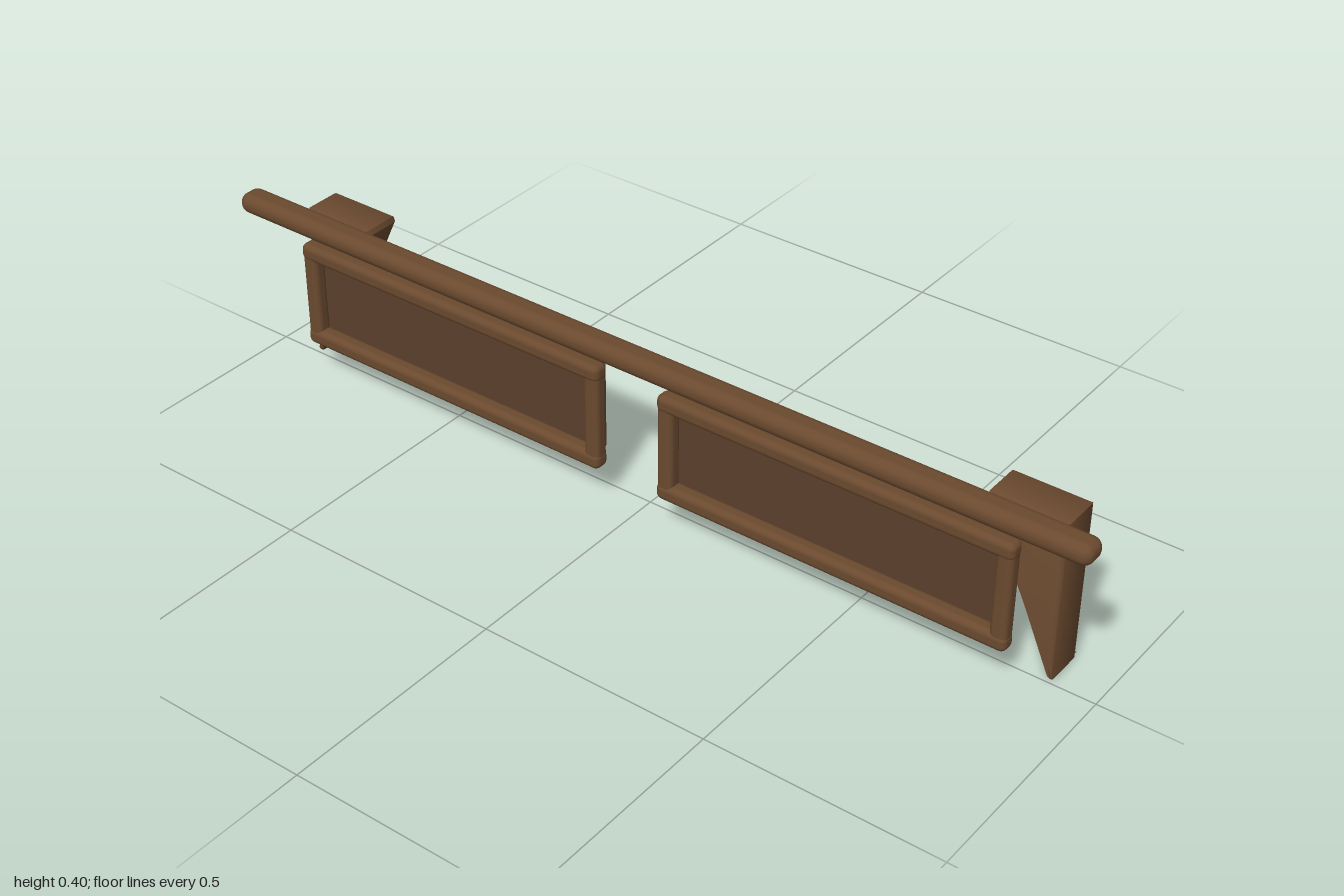
import * as THREE from 'three';
import { toCreasedNormals } from 'three/addons/utils/BufferGeometryUtils.js';
import { RoundedBoxGeometry } from 'three/addons/geometries/RoundedBoxGeometry.js';

export function createModel() {
  const model = new THREE.Group();
  const wood = new THREE.MeshStandardMaterial({ color: 0x6b4a2f });
  wood.name = 'brown wood';
  const darkWood = new THREE.MeshStandardMaterial({ color: 0x5c3f2c });
  darkWood.name = 'dark brown wood';

  // Rounded bar given by its limits on each axis
  function bar(parent, name, [x0, x1], [y0, y1], [z0, z1], radius) {
    const geometry = new RoundedBoxGeometry(x1 - x0, y1 - y0, z1 - z0, 4, radius);
    const mesh = new THREE.Mesh(geometry, wood);
    mesh.position.set((x0 + x1) / 2, (y0 + y1) / 2, (z0 + z1) / 2);
    mesh.name = name;
    parent.add(mesh);
  }

  // Long top rail
  bar(model, 'topRail', [-1, 1], [0.355, 0.4], [0.04, 0.099], 0.021);

  for (const side of [-1, 1]) {
    const prefix = side > 0 ? 'left' : 'right';
    const span = (a, b) => (side > 0 ? [a, b] : [-b, -a]);

    // Framed panel
    const panel = new THREE.Group();
    panel.name = prefix + 'Panel';
    model.add(panel);
    bar(panel, 'backBoard', span(0.09, 0.83), [0.105, 0.307], [0.018, 0.046], 0.01);
    bar(panel, 'frameTop', span(0.07, 0.848), [0.289, 0.326], [0.042, 0.079], 0.013);
    bar(panel, 'frameBottom', span(0.07, 0.848), [0.086, 0.123], [0.042, 0.079], 0.013);
    bar(panel, 'frameInnerSide', span(0.071, 0.107), [0.092, 0.32], [0.043, 0.077], 0.012);
    bar(panel, 'frameOuterSide', span(0.811, 0.847), [0.092, 0.32], [0.043, 0.077], 0.012);

    // Recessed face inside the frame
    const inset = new THREE.Mesh(new THREE.BoxGeometry(0.72, 0.18, 0.004), darkWood);
    inset.position.set(side * 0.459, 0.206, 0.046);
    inset.name = 'insetFace';
    panel.add(inset);

    // Tapered bracket with softened edges
    const outline = [[0.905, 0], [0.905, 0.35], [0.742, 0.35], [0.738, 0.338], [0.899, 0]];
    const shape = new THREE.Shape(outline.map(([x, y]) => new THREE.Vector2(side * x, y)));
    const bevel = 0.009;
    const geometry = new THREE.ExtrudeGeometry(shape, {
      depth: 0.092 - 2 * bevel, bevelEnabled: true, bevelThickness: bevel,
      bevelSize: bevel, bevelOffset: -bevel, bevelSegments: 4,
    });
    const bracket = new THREE.Mesh(toCreasedNormals(geometry, 0.6), wood);
    bracket.position.z = -0.097 + bevel;
    bracket.name = prefix + 'Bracket';
    model.add(bracket);
  }
  return model;
}
